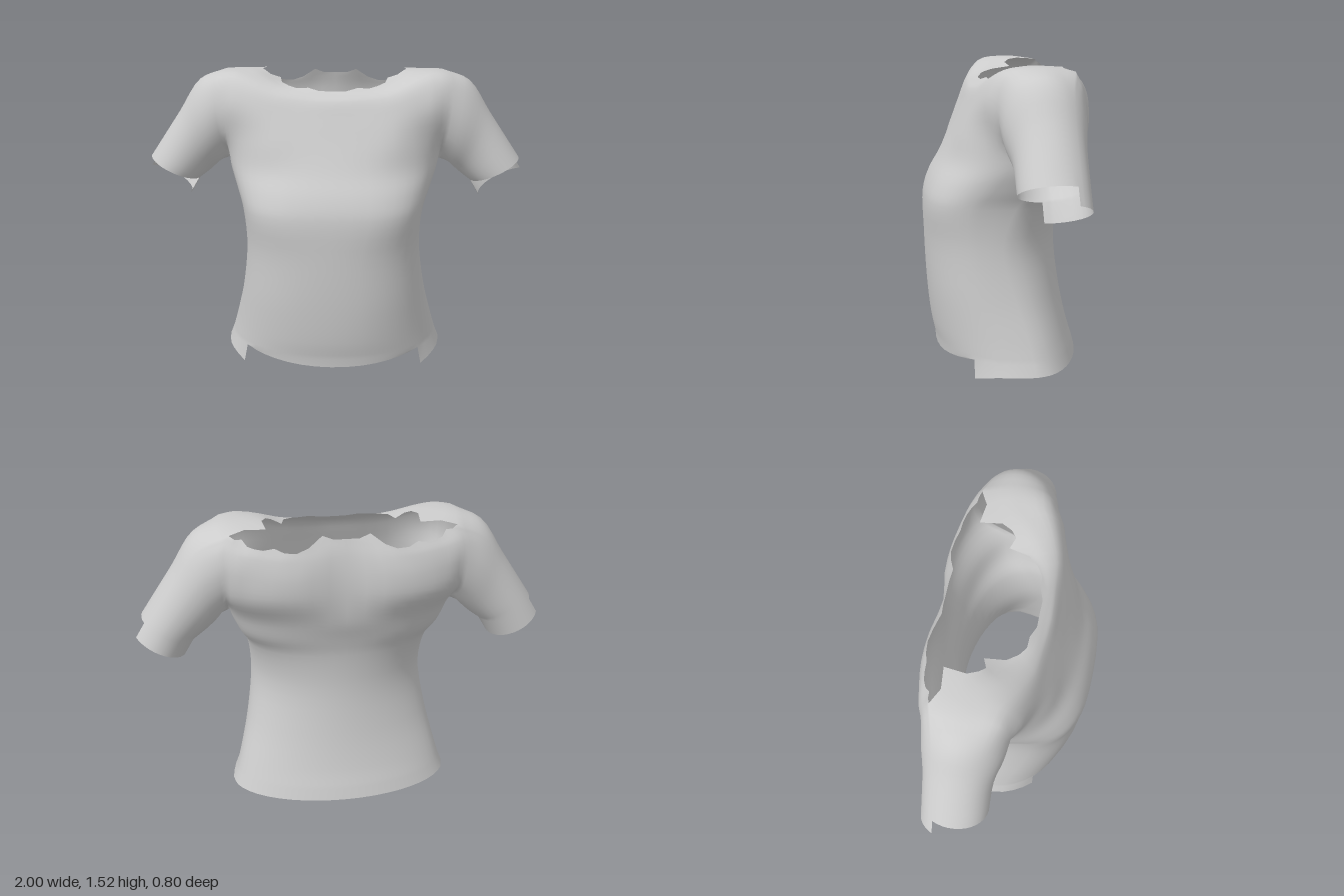
import * as THREE from 'three';
import { mergeVertices } from 'three/addons/utils/BufferGeometryUtils.js';

const COLS = 24;      // columns across a panel
const STEP = 4;       // rows between two control sections

// Torso sections up to the armpit:
// y, half width, front z, back z, side seam z, front squareness, back squareness
const TORSO = [
  [0.1, 0.558, 0.345, -0.375, -0.1, 2.15, 2],
  [0.2, 0.53, 0.365, -0.345, -0.08, 2.2, 2],
  [0.4, 0.482, 0.385, -0.305, -0.02, 2.35, 1.97],
  [0.65, 0.45, 0.395, -0.28, 0.04, 2.4, 1.97],
  [0.85, 0.465, 0.395, -0.295, -0.02, 3, 2.05],
  [0.95, 0.505, 0.365, -0.32, -0.09, 2.75, 2.2],
  [1.06, 0.545, 0.305, -0.355, -0.11, 2.4, 2.2],
];
const ARMPIT = (TORSO.length - 1) * STEP;

// Half sections above the armpit, centre to armhole
const CHEST = [
  [[0, 1.19, 0.245], [0.17, 1.19, 0.24], [0.3, 1.19, 0.225], [0.4, 1.19, 0.18], [0.47, 1.19, 0.13], [0.52, 1.19, 0.085], [0.555, 1.18, 0.04]],
  [[0, 1.31, 0.195], [0.17, 1.31, 0.19], [0.29, 1.32, 0.18], [0.38, 1.34, 0.16], [0.45, 1.35, 0.14], [0.51, 1.36, 0.12], [0.57, 1.34, 0.085]],
  [[0, 1.39, 0.16], [0.16, 1.395, 0.15], [0.28, 1.41, 0.14], [0.37, 1.45, 0.11], [0.44, 1.48, 0.08], [0.5, 1.5, 0.05], [0.57, 1.49, 0.035]],
  [[0, 1.415, 0.13], [0.145, 1.42, 0.125], [0.25, 1.44, 0.1], [0.335, 1.48, 0.04], [0.405, 1.513, -0.02], [0.475, 1.524, -0.09], [0.56, 1.52, -0.12]],
  [[0, 1.435, 0.1], [0.13, 1.44, 0.095], [0.22, 1.455, 0.05], [0.295, 1.48, -0.05], [0.35, 1.512, -0.1], [0.4, 1.517, -0.2], [0.53, 1.5, -0.28]],
];
const BACK = [
  [[0, 1.19, -0.365], [0.17, 1.19, -0.39], [0.3, 1.19, -0.387], [0.4, 1.19, -0.368], [0.47, 1.19, -0.343], [0.52, 1.19, -0.317], [0.56, 1.18, -0.28]],
  [[0, 1.3, -0.362], [0.17, 1.3, -0.393], [0.3, 1.3, -0.394], [0.4, 1.31, -0.376], [0.46, 1.32, -0.361], [0.51, 1.33, -0.348], [0.56, 1.33, -0.323]],
  [[0, 1.4, -0.348], [0.15, 1.39, -0.373], [0.27, 1.39, -0.378], [0.37, 1.4, -0.364], [0.44, 1.41, -0.35], [0.5, 1.42, -0.333], [0.56, 1.43, -0.31]],
  [[0, 1.475, -0.33], [0.12, 1.47, -0.335], [0.23, 1.43, -0.365], [0.34, 1.44, -0.348], [0.42, 1.45, -0.333], [0.48, 1.47, -0.303], [0.53, 1.5, -0.28]],
];

// Sleeve rings: top x, top y, bottom x, bottom y, centre z, half depth
const SLEEVE = [
  [0.695, 1.467, 0.605, 1.035, -0.12, 0.19],
  [0.81, 1.3, 0.66, 0.985, -0.127, 0.166],
  [0.97, 1.065, 0.72, 0.94, -0.125, 0.16],
];
const CUFF = [1.015, 0.993, 0.77, 0.857, -0.125, 0.16];

const v3 = (x, y, z) => new THREE.Vector3(x, y, z);

// Half of a rounded torso section as seven points
function torsoHalf([y, w, zf, zb, zs, nf, nb], front) {
  const e = 2 / (front ? nf : nb), depth = (front ? zf : zb) - zs;
  return Array.from({ length: 7 }, (_, i) => {
    const a = (i * Math.PI) / 12;
    return [w * Math.sin(a) ** e, y, zs + depth * Math.max(0, Math.cos(a)) ** e];
  });
}

// Smooth grid of points through mirrored control sections
function panel(halves, front) {
  const sections = halves.map((h) => {
    const pts = [...h.slice(1).reverse().map(([x, y, z]) => v3(-x, y, z)), ...h.map((p) => v3(...p))];
    return new THREE.CatmullRomCurve3(pts).getPoints(COLS);
  });
  const rows = (sections.length - 1) * STEP;
  const columns = Array.from({ length: COLS + 1 }, (_, j) =>
    new THREE.CatmullRomCurve3(sections.map((s) => s[j])).getPoints(rows));
  const grid = Array.from({ length: rows + 1 }, (_, i) => columns.map((c) => c[i]));
  // Ragged neckline
  for (let j = 2; j < COLS; j += 4) {
    const p = grid[rows][j];
    p.addScaledVector(p.clone().sub(grid[rows - 1][j]), front ? 2 : 1.2);
  }
  return grid;
}

function ringPoint([tx, ty, bx, by, zc, hz], a) {
  const c = Math.cos(a) / 2;
  return v3((tx + bx) / 2 + c * (tx - bx), (ty + by) / 2 + c * (ty - by), zc + hz * Math.sin(a));
}

export function createModel() {
  const positions = [];
  const quad = (a, b, c, d, flip) => {
    const order = flip ? [a, c, b, a, d, c] : [a, b, c, a, c, d];
    order.forEach((p) => positions.push(p.x, p.y, p.z));
  };
  const front = panel([...TORSO.map((t) => torsoHalf(t, true)), ...CHEST], true);
  const back = panel([...TORSO.map((t) => torsoHalf(t, false)), ...BACK], false);

  // Join the side seams
  for (let i = 0; i <= ARMPIT; i++) for (const j of [0, COLS]) back[i][j].copy(front[i][j]);

  // Front and back panels with a stepped hem
  for (const grid of [front, back]) {
    const isBack = grid === back;
    for (let i = 0; i < grid.length - 1; i++) for (let j = 0; j < COLS; j++)
      quad(grid[i][j], grid[i][j + 1], grid[i + 1][j + 1], grid[i + 1][j], isBack);
    for (let j = 0; j < COLS; j++) {
      const p = grid[0][j], q = grid[0][j + 1];
      const short = !isBack && Math.abs(p.x + q.x) / 2 < 0.43;
      const hem = ({ x, z }) => short
        ? v3(x, 0.055 + 0.04 * (x / 0.43) ** 2, z - 0.004)
        : v3(x * 1.04, Math.max(0, 0.043 - 0.043 * (Math.max(0, z) / 0.2) ** 2), z < 0 ? z * 1.04 : z);
      quad(hem(p), hem(q), q, p, isBack);
    }
  }
  const ranges = [positions.length / 3];

  // Sleeves grown from the armhole loop
  const loop = [
    ...front.slice(ARMPIT).map((r) => r[COLS]),
    ...back.slice(ARMPIT, -1).reverse().map((r) => r[COLS]),
  ];
  const strands = loop.map((p, k) => {
    const seam = k === 0 || k === loop.length - 1;
    const a = seam ? Math.PI : Math.atan2(p.z + 0.12, p.y - 1.3);
    return { a, pts: new THREE.CatmullRomCurve3([p, ...SLEEVE.map((r) => ringPoint(r, a))]).getPoints(12), cuff: ringPoint(CUFF, a) };
  });
  for (const side of [1, -1]) {
    const m = (p) => v3(p.x * side, p.y, p.z);
    for (let k = 0; k < strands.length - 1; k++) {
      const s = strands[k], t = strands[k + 1];
      for (let r = 0; r < 12; r++)
        quad(m(s.pts[r]), m(s.pts[r + 1]), m(t.pts[r + 1]), m(t.pts[r]), side < 0);
      // Longer rear half of the cuff
      const sin = (Math.sin(s.a) + Math.sin(t.a)) / 2, cos = (Math.cos(s.a) + Math.cos(t.a)) / 2;
      if (sin < -0.16 - 0.31 * cos)
        quad(m(s.pts[12]), m(s.cuff), m(t.cuff), m(t.pts[12]), side < 0);
    }
    ranges.push(positions.length / 3);
  }

  // Weld everything so the shading flows across the seams, then split into parts
  let cloth = new THREE.BufferGeometry();
  cloth.setAttribute('position', new THREE.Float32BufferAttribute(positions, 3));
  cloth = mergeVertices(cloth, 1e-4);
  cloth.computeVertexNormals();
  const index = Array.from(cloth.index.array);

  const fabric = new THREE.MeshStandardMaterial({ color: 0xcccccc, side: THREE.DoubleSide });
  fabric.name = 'grey fabric';
  const group = new THREE.Group();
  group.name = 'shirt';
  ['torso', 'leftSleeve', 'rightSleeve'].forEach((name, n) => {
    const g = new THREE.BufferGeometry();
    g.setAttribute('position', cloth.attributes.position);
    g.setAttribute('normal', cloth.attributes.normal);
    g.setIndex(index.slice(n ? ranges[n - 1] : 0, ranges[n]));
    const mesh = new THREE.Mesh(g, fabric);
    mesh.name = name;
    group.add(mesh);
  });
  return group;
}
